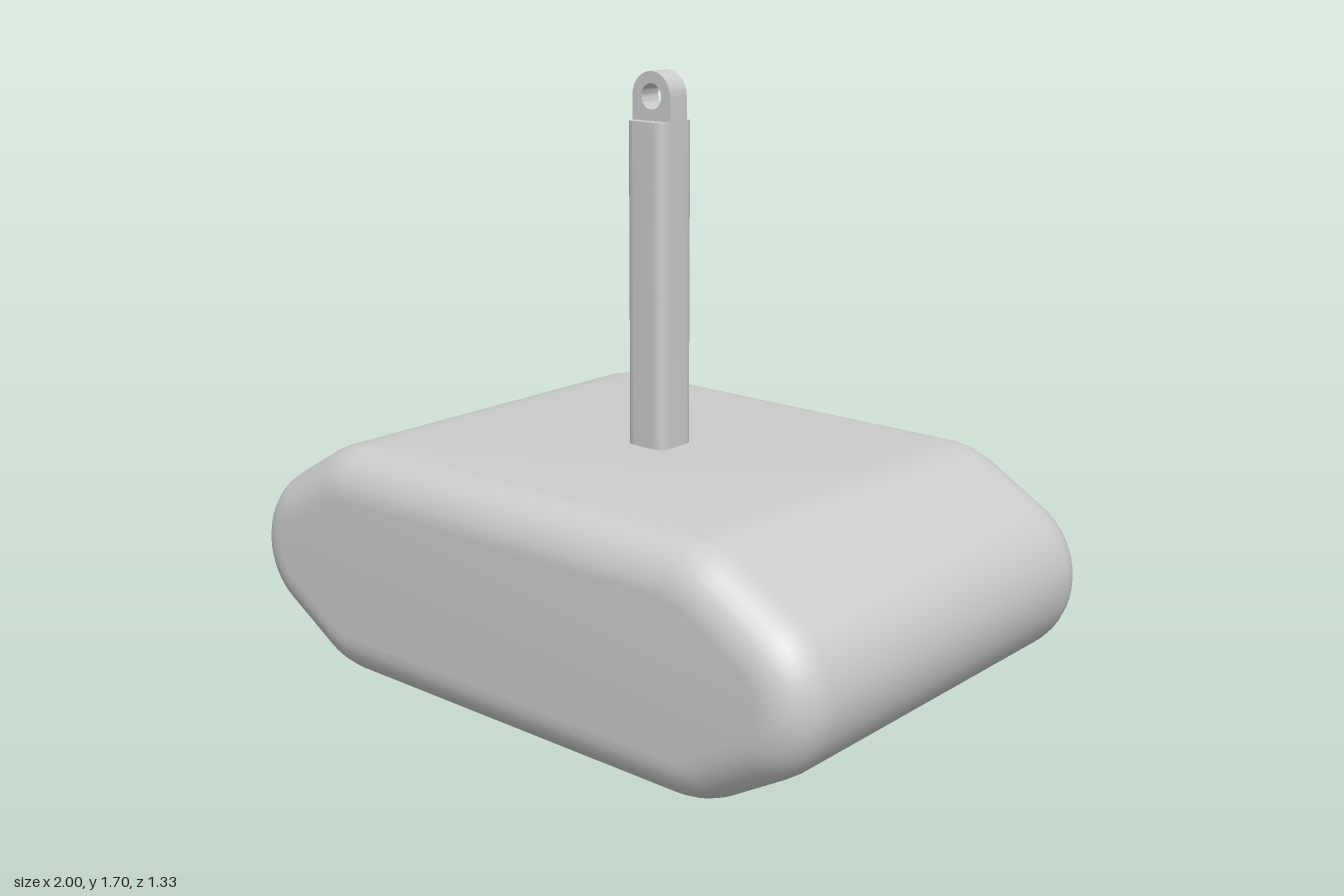
import * as THREE from 'three';
import { toCreasedNormals } from 'three/addons/utils/BufferGeometryUtils.js';

const material = new THREE.MeshStandardMaterial({ color: 0xcccccc });

function part(name, geometry) {
  const mesh = new THREE.Mesh(toCreasedNormals(geometry, 0.6), material);
  mesh.name = name;
  return mesh;
}

function hole(x, y, r) {
  return new THREE.Path().absarc(x, y, r, 0, Math.PI * 2, true);
}

// Elongated hexagon with rounded corners, centred on the origin
function bodyOutline() {
  const quarter = [];
  const arc = (cx, cy, r, from, to, n) => {
    for (let i = 0; i <= n; i++) {
      const a = THREE.MathUtils.degToRad(from + (to - from) * i / n);
      quarter.push([cx + r * Math.cos(a), cy + r * Math.sin(a)]);
    }
  };
  arc(0.765, 0, 0.235, 0, 60, 8);        // blunt end
  arc(0.585, 0.065, 0.27, 60, 90, 5);    // shoulder
  const flip = (list, sx, sy) => list.map(([x, y]) => new THREE.Vector2(x * sx, y * sy));
  const back = [...quarter].reverse();
  return new THREE.Shape([
    ...flip(quarter, 1, 1),
    ...flip(back, -1, 1),
    ...flip(quarter.slice(1), -1, -1),
    ...flip(back.slice(0, -1), 1, -1),
  ]);
}

export function createModel() {
  const model = new THREE.Group();
  model.name = 'hammerShapedBlock';

  // Block with fully rounded front and back edges
  const halfDepth = 0.665, round = 0.13;
  const bodyGeo = new THREE.ExtrudeGeometry(bodyOutline(), {
    depth: 2 * (halfDepth - round), bevelThickness: round, bevelSize: round,
    bevelOffset: -round, bevelSegments: 8,
  });
  bodyGeo.translate(0, 0.335, -(halfDepth - round));
  model.add(part('body', bodyGeo));

  // Square post with rounded corners, slotted on its -x side
  const h = 0.067, r = 0.03, f = h - r, slot = 0.06;
  const bottom = 0.6, top = 1.57;
  const section = new THREE.Shape();
  section.moveTo(-h, -f);
  section.absarc(-f, -f, r, Math.PI, Math.PI * 1.5);
  section.absarc(f, -f, r, -Math.PI / 2, 0);
  section.absarc(f, f, r, 0, Math.PI / 2);
  section.absarc(-f, f, r, Math.PI / 2, Math.PI);
  section.lineTo(-h + slot, f);
  section.lineTo(-h + slot, -f);
  const postGeo = new THREE.ExtrudeGeometry(section, {
    depth: top - bottom, bevelEnabled: false, curveSegments: 6,
  });
  postGeo.rotateX(-Math.PI / 2).translate(0, bottom, 0);
  model.add(part('post', postGeo));

  // Strip filling the slot, leaving a blind side hole near the top
  const strip = new THREE.Shape([
    new THREE.Vector2(-f, bottom), new THREE.Vector2(f, bottom),
    new THREE.Vector2(f, top), new THREE.Vector2(-f, top),
  ]);
  strip.holes.push(hole(0, 1.48, 0.033));
  const stripGeo = new THREE.ExtrudeGeometry(strip, {
    depth: slot, bevelEnabled: false, curveSegments: 16,
  });
  stripGeo.rotateY(-Math.PI / 2).translate(-h + slot, 0, 0);
  model.add(part('postSideHole', stripGeo));

  // Eyelet on top of the post
  const eye = new THREE.Shape();
  eye.moveTo(-h, top);
  eye.lineTo(h, top);
  eye.absarc(0, 1.635, h, 0, Math.PI);
  eye.closePath();
  eye.holes.push(hole(0, 1.635, 0.035));
  const eyeGeo = new THREE.ExtrudeGeometry(eye, {
    depth: 0.068, bevelEnabled: false, curveSegments: 16,
  });
  eyeGeo.translate(0, 0, -0.034);
  model.add(part('eyelet', eyeGeo));

  return model;
}
